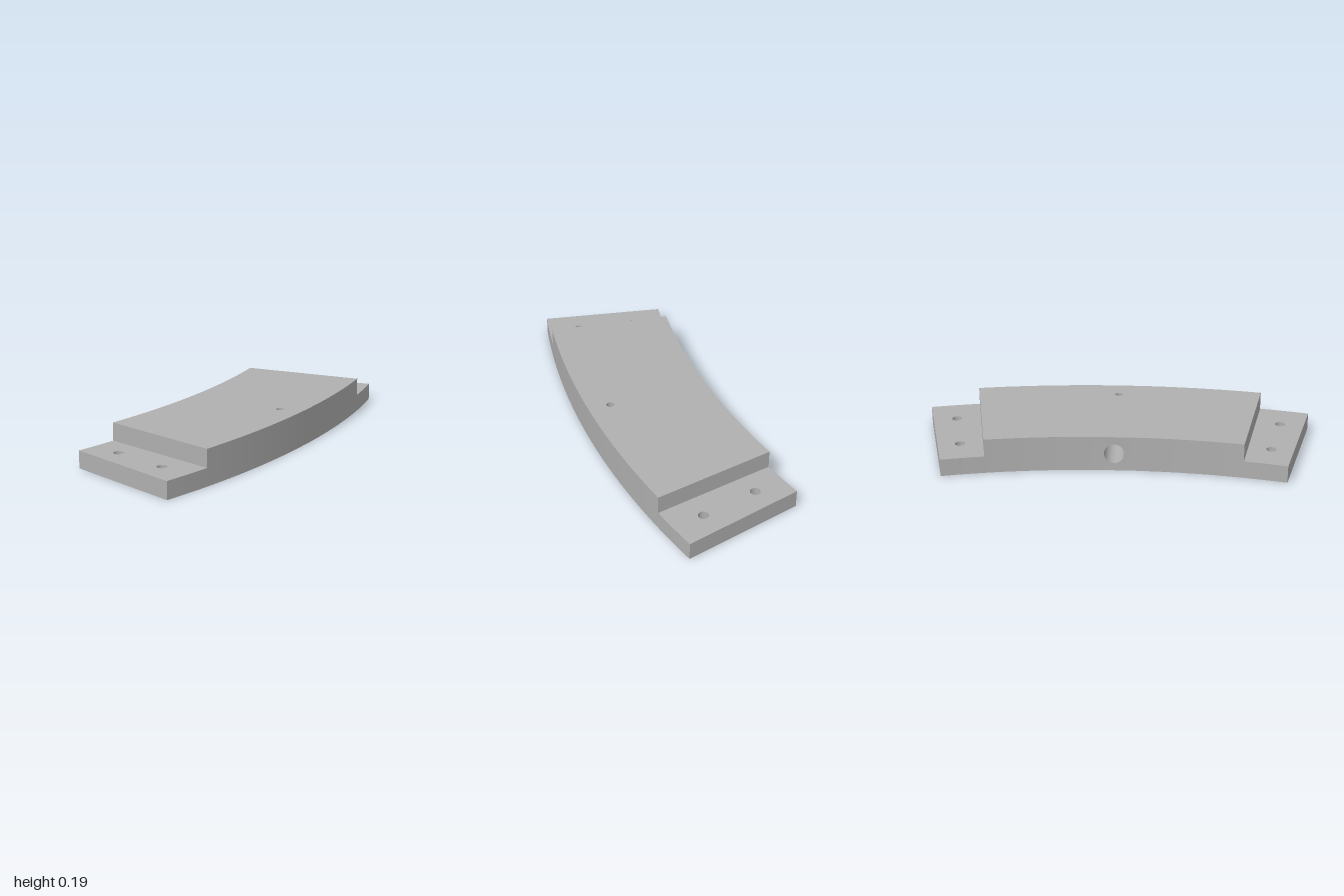
import * as THREE from 'three';
import { mergeGeometries } from 'three/addons/utils/BufferGeometryUtils.js';

// Arc layout: centre, inner and outer radius, heights, angles in degrees
const CX = -3.775, CZ = -1.621, RI = 3.84, RO = 4.487;
const LOW = 0.093, HIGH = 0.188;
const A0 = 9.3, A1 = 12.65, A2 = 32.35, A3 = 35.7, MID = 22.5;
const BORE_R = 0.052, BORE_Y = 0.094, BORE_END = 4.4, PORT_R = 0.02, PORT_AT = 4.368;
const BOLT_R = 0.026;

const rad = THREE.MathUtils.degToRad;
const polar = (r, a, y) =>
  new THREE.Vector3(CX + r * Math.cos(rad(a)), y, CZ + r * Math.sin(rad(a)));

function flip(g) {
  const ix = g.index.array;
  for (let i = 0; i < ix.length; i += 3) [ix[i], ix[i + 1]] = [ix[i + 1], ix[i]];
  g.computeVertexNormals();
  return g;
}

// Moves every vertex of a flat geometry through fn(x, y)
function mapped(g, fn, flipped) {
  const p = g.attributes.position;
  for (let i = 0; i < p.count; i++) {
    const v = fn(p.getX(i), p.getY(i));
    p.setXYZ(i, v.x, v.y, v.z);
  }
  if (flipped) return flip(g);
  g.computeVertexNormals();
  return g;
}

// Curved wall at radius r between two angles
function wall(r, a, b, h, flipped) {
  const n = Math.max(2, Math.round((b - a) * 1.5));
  return mapped(new THREE.PlaneGeometry(1, 1, n, 1),
    (u, v) => polar(r, a + (u + 0.5) * (b - a), (v + 0.5) * h), flipped);
}

// Flat radial face at one angle
const radialFace = (a, y0, y1, flipped) => mapped(new THREE.PlaneGeometry(1, 1),
  (u, v) => polar(RI + (u + 0.5) * (RO - RI), a, y0 + (v + 0.5) * (y1 - y0)), flipped);

// Horizontal ring sector with round holes given as [radius, angle, size]
function cap(a, b, y, holes, flipped) {
  const n = Math.round((b - a) * 1.5), pts = [];
  const flat = (r, t) => { const v = polar(r, t, 0); return new THREE.Vector2(v.x, -v.z); };
  for (let i = 0; i <= n; i++) pts.push(flat(RI, a + (b - a) * i / n));
  for (let i = n; i >= 0; i--) pts.push(flat(RO, a + (b - a) * i / n));
  const shape = new THREE.Shape(pts);
  for (const [r, t, size] of holes) {
    const c = flat(r, t);
    shape.holes.push(new THREE.Path().absarc(c.x, c.y, size, 0, Math.PI * 2, true));
  }
  return mapped(new THREE.ShapeGeometry(shape, 12), (x, z) => new THREE.Vector3(x, y, -z), flipped);
}

// Inside surface of a vertical hole
function holeLining([r, t, size], y0, y1) {
  const g = flip(new THREE.CylinderGeometry(size, size, y1 - y0, 24, 1, true));
  const c = polar(r, t, (y0 + y1) / 2);
  return g.translate(c.x, c.y, c.z);
}

export function createModel() {
  const group = new THREE.Group();
  const grey = new THREE.MeshStandardMaterial({ color: 0xb0b0b0 });
  grey.name = 'grey';
  const add = (name, parts) => {
    const mesh = new THREE.Mesh(mergeGeometries(parts), grey);
    mesh.name = name;
    group.add(mesh);
  };

  const bolts = a => [4.007, 4.316].map(r => [r, a, BOLT_R]);
  const startBolts = bolts(10.95), endBolts = bolts(34.05);
  const port = [PORT_AT, MID, PORT_R];

  add('underside', [cap(A0, A3, 0, [...startBolts, ...endBolts], true)]);

  // Stepped-down tongues with bolt holes at both ends
  for (const [name, a, b, holes] of [
    ['backTongue', A0, A1, startBolts], ['frontTongue', A2, A3, endBolts]]) {
    const back = a === A0;
    add(name, [
      cap(a, b, LOW, holes),
      wall(RI, a, b, LOW), wall(RO, a, b, LOW, true),
      radialFace(back ? a : b, 0, LOW, back),
      radialFace(back ? b : a, LOW, HIGH, back)]);
    add(name + 'BoltHoles', holes.map(h => holeLining(h, 0, LOW)));
  }

  // Raised middle block; a narrow panel of the inner wall carries the bore opening
  const d = 1.2, w = RI * rad(d);
  const panel = new THREE.Shape([[-w, 0], [w, 0], [w, HIGH], [-w, HIGH]]
    .map(p => new THREE.Vector2(...p)));
  panel.holes.push(new THREE.Path().absarc(0, BORE_Y, BORE_R, 0, Math.PI * 2, true));
  const borePanel = mapped(new THREE.ShapeGeometry(panel, 16),
    (u, y) => polar(RI, MID + THREE.MathUtils.radToDeg(u / RI), y));
  add('raisedBlock', [
    cap(A1, A2, HIGH, [port]),
    wall(RO, A1, A2, HIGH, true),
    wall(RI, A1, MID - d, HIGH), borePanel, wall(RI, MID + d, A2, HIGH)]);

  // Blind radial bore met by the small port from the top
  const length = BORE_END - RI;
  const lining = flip(new THREE.CylinderGeometry(BORE_R, BORE_R, length, 32, 1, true));
  const floor = new THREE.CircleGeometry(BORE_R, 32).rotateX(Math.PI / 2).translate(0, length / 2, 0);
  const c = polar((RI + BORE_END) / 2, MID, BORE_Y);
  add('sideBore', [lining, floor].map(g =>
    g.rotateZ(-Math.PI / 2).rotateY(-rad(MID)).translate(c.x, c.y, c.z)));
  add('topPort', [holeLining(port, BORE_Y + BORE_R - 0.004, HIGH)]);

  return group;
}
